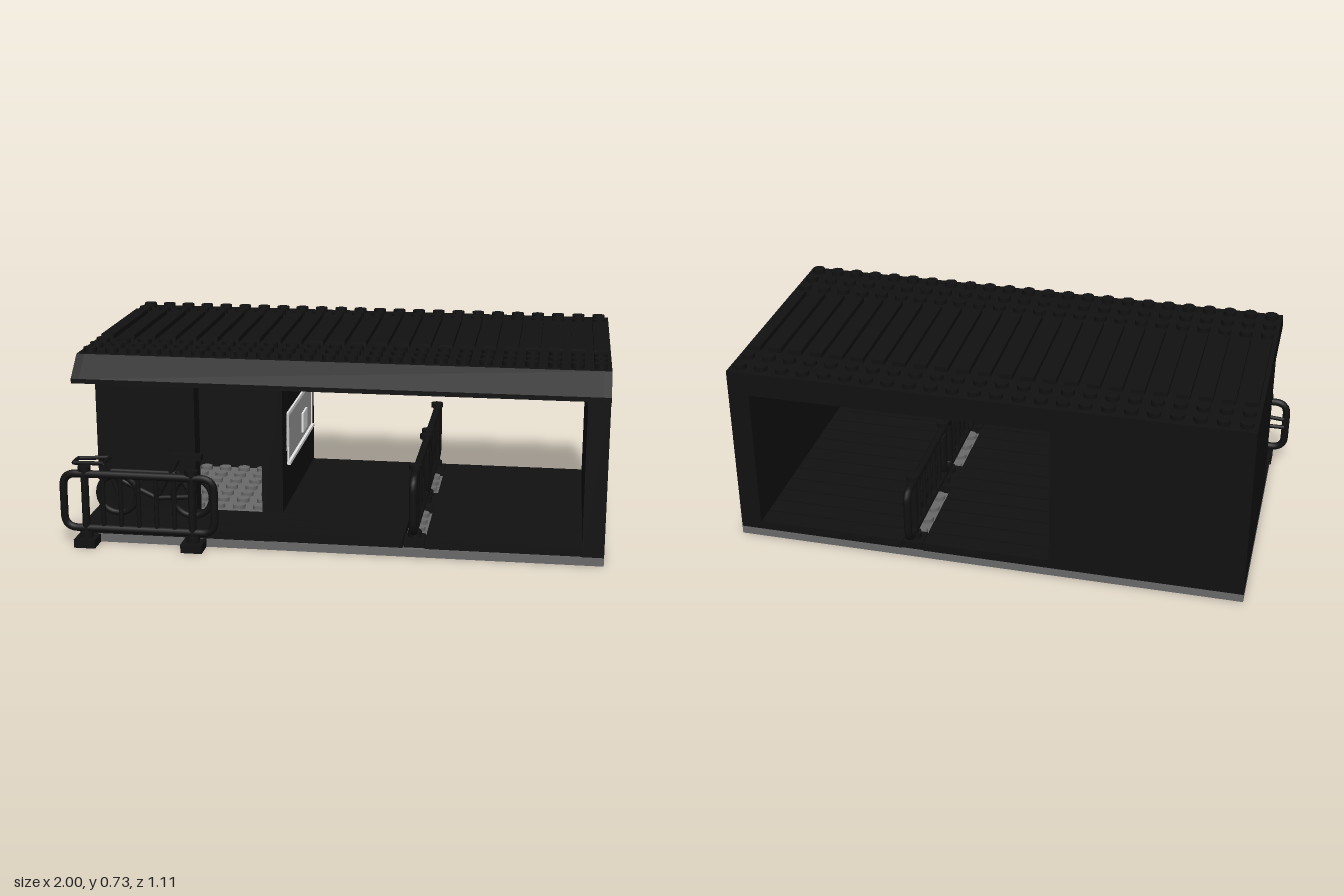
import * as THREE from 'three';
import { mergeGeometries } from 'three/addons/utils/BufferGeometryUtils.js';

const P = 0.0809; // stud pitch
const X0 = -0.94, X1 = 1.0, Z0 = -0.5, Z1 = 0.475;
const range = (n, f) => Array.from({ length: n }, (_, i) => f(i));

export function createModel() {
  const model = new THREE.Group();
  const material = (name, color, side = THREE.FrontSide) => {
    const m = new THREE.MeshStandardMaterial({ color, side });
    m.name = name;
    return m;
  };
  const black = material('black', 0x111111, THREE.DoubleSide);
  const grey = material('stone grey', 0x6a6a6a, THREE.DoubleSide);
  const light = material('light grey', 0xa3a3a3);
  const white = material('white', 0xececec);

  const add = (name, geo, mat, parent = model) => {
    const mesh = new THREE.Mesh(geo, mat);
    mesh.name = name;
    parent.add(mesh);
    return mesh;
  };
  // Box given by its minimum and maximum corners
  const box = (x0, x1, y0, y1, z0, z1) =>
    new THREE.BoxGeometry(x1 - x0, y1 - y0, z1 - z0)
      .translate((x0 + x1) / 2, (y0 + y1) / 2, (z0 + z1) / 2);
  const stud = (x, y, z, h = 0.016) =>
    new THREE.CylinderGeometry(0.0245, 0.0245, h, 14).translate(x, y + h / 2, z);
  const tube = (x, y, z, h) =>
    new THREE.CylinderGeometry(0.032, 0.032, h, 12, 1, true).translate(x, y + h / 2, z);
  const ring = (x, y, z) =>
    new THREE.RingGeometry(0.024, 0.032, 12).rotateX(Math.PI / 2).translate(x, y, z);
  const rod = (a, b, r = 0.01) => new THREE.TubeGeometry(
    new THREE.LineCurve3(new THREE.Vector3(...a), new THREE.Vector3(...b)), 1, r, 8);

  // Hollow base plates, each four studs by twelve
  const base = [];
  const w = (X1 - X0) / 6;
  for (let i = 0; i < 6; i++) {
    const a = X0 + i * w, b = a + w, t = 0.012;
    base.push(box(a, b, 0.022, 0.032, Z0, Z1));
    base.push(box(a, a + t, 0, 0.022, Z0, Z1), box(b - t, b, 0, 0.022, Z0, Z1));
    base.push(box(a + t, b - t, 0, 0.022, Z0, Z0 + t), box(a + t, b - t, 0, 0.022, Z1 - t, Z1));
    for (let c = 1; c < 4; c++) for (let r = 1; r < 12; r++) {
      const x = a + c * P, z = Z0 + r * P;
      base.push(tube(x, 0.001, z, 0.021), ring(x, 0.001, z));
    }
  }
  add('basePlates', mergeGeometries(base), grey);

  // Bare studs inside the booth and under the barrier row
  const floorStuds = [];
  for (let c = 1; c < 8; c++) for (let r = 1; r < 9; r++) {
    if (r === 8 && (c < 5)) continue;
    floorStuds.push(stud(X0 + (c + 0.5) * P, 0.032, Z0 + (r + 0.5) * P));
  }
  for (let r = 0; r < 12; r++) floorStuds.push(stud(0.313, 0.032, Z0 + (r + 0.5) * P));
  add('floorStuds', mergeGeometries(floorStuds), grey);

  // Platform boards running sideways
  const boards = [];
  const paving = (x0, x1, z0, rows) => {
    boards.push(box(x0, x1, 0.032, 0.056, z0, z0 + rows * P));
    for (let i = 0; i < rows; i++)
      boards.push(box(x0, x1, 0.056, 0.063, z0 + i * P + 0.003, z0 + (i + 1) * P - 0.003));
  };
  paving(-0.215, 0.272, Z0, 12);
  paving(0.353, 0.92, Z0, 12);
  paving(X0, -0.215, 0.23, 3);
  boards.push(box(0.272, 0.353, 0.032, 0.063, -0.095, 0.068));
  add('platformBoards', mergeGeometries(boards), black);

  // Walls: the end wall and the booth with its doorway
  const top = 0.62;
  add('endWall', box(0.92, X1, 0.032, top, Z0, Z1), black);
  add('boothBackWall', box(X0, -0.215, 0.032, top, Z0, Z0 + P), black);
  add('boothOuterWall', box(X0, X0 + P, 0.032, top, Z0 + P, 0.23), black);
  add('boothInnerWall', box(-0.296, -0.215, 0.032, top, Z0 + P, 0.23), black);
  add('boothFrontWall', box(X0 + P, -0.555, 0.032, top, 0.15, 0.23), black);

  // Ticket window on the platform side of the booth
  const win = new THREE.Group();
  win.name = 'ticketWindow';
  model.add(win);
  add('windowPane', box(-0.215, -0.211, 0.24, 0.43, -0.42, 0.14), light, win);
  add('windowFrame', mergeGeometries([
    box(-0.215, -0.207, 0.42, 0.435, -0.42, 0.14),
    box(-0.215, -0.207, 0.24, 0.42, -0.42, -0.405),
    box(-0.215, -0.207, 0.24, 0.42, 0.125, 0.14),
    box(-0.215, -0.2, 0.228, 0.242, -0.42, 0.14),
  ]), white, win);
  add('ticketBox', box(-0.212, -0.203, 0.27, 0.35, -0.27, -0.17), white, win);

  // Roof shell with a sloped front eave, capped at both ends
  const section = (pts, x0, x1) => {
    const shape = new THREE.Shape(pts.map(([z, y]) => new THREE.Vector2(-z, y)));
    return new THREE.ExtrudeGeometry(shape, { depth: x1 - x0, bevelEnabled: false })
      .rotateY(Math.PI / 2).translate(x0, 0, 0);
  };
  const outer = [[Z0, top], [Z0, 0.712], [0.435, 0.712], [0.515, 0.637], [0.515, top]];
  const shell = [...outer, [0.43, top], [0.43, 0.685], [Z0 + 0.03, 0.685], [Z0 + 0.03, top]];
  add('roof', mergeGeometries([
    section(shell, X0 + 0.03, X1 - 0.03),
    section(outer, X0, X0 + 0.03),
    section(outer, X1 - 0.03, X1),
  ]), black);

  // Roof underside tubes, top studs and long ribs
  const under = [], studs = [], ribs = [];
  for (let c = 0; c < 24; c++) {
    const x = X0 + (c + 0.5) * P;
    for (const z of [-0.457, -0.376, 0.231, 0.312, 0.393]) studs.push(stud(x, 0.712, z, 0.018));
    ribs.push(box(x - 0.0245, x + 0.0245, 0.712, 0.73, -0.32, 0.175));
    if (c) for (let r = 1; r < 11; r++)
      under.push(tube(x - P / 2, 0.625, Z0 + r * P, 0.06), ring(x - P / 2, 0.625, Z0 + r * P));
  }
  add('roofTubes', mergeGeometries(under), black);
  add('roofStuds', mergeGeometries(studs), black);
  add('roofRibs', mergeGeometries(ribs), black);

  // Barrier: rounded loop, two footed posts and thin bars, along x and centred
  const barrier = (name) => {
    const g = new THREE.Group();
    g.name = name;
    const L = 0.285, lo = 0.035, hi = 0.245, r = 0.05;
    const path = new THREE.CurvePath();
    const v = (x, y) => new THREE.Vector3(x, y, 0);
    const corners = [[L, lo], [L, hi], [-L, hi], [-L, lo]];
    corners.forEach(([x, y], i) => {
      const [px, py] = corners[(i + 3) % 4], [nx, ny] = corners[(i + 1) % 4];
      const toward = (ax, ay) => v(x + Math.sign(ax - x) * r, y + Math.sign(ay - y) * r);
      path.add(new THREE.QuadraticBezierCurve3(toward(px, py), v(x, y), toward(nx, ny)));
      path.add(new THREE.LineCurve3(toward(nx, ny),
        v(nx + Math.sign(x - nx) * r, ny + Math.sign(y - ny) * r)));
    });
    add('loopRail', new THREE.TubeGeometry(path, 120, 0.015, 8, true), black, g);
    const parts = [];
    for (const x of [-0.2025, 0.2025]) {
      parts.push(rod([x, 0, 0], [x, 0.27, 0], 0.015));
      parts.push(new THREE.CylinderGeometry(0.025, 0.025, 0.024, 14).translate(x, 0.012, 0));
      parts.push(new THREE.CylinderGeometry(0.024, 0.024, 0.018, 14).translate(x, 0.267, 0));
    }
    add('posts', mergeGeometries(parts), black, g);
    add('bars', mergeGeometries(range(5, i => {
      const x = (i - 2) * 0.0675;
      return rod([x, lo, 0], [x, hi, 0], 0.009);
    })), black, g);
    model.add(g);
    return g;
  };
  barrier('frontBarrier').position.set(-0.703, 0.032, 0.515);
  for (const [name, z] of [['platformBarrierFront', 0.2225], ['platformBarrierBack', -0.2565]]) {
    const g = barrier(name);
    g.position.set(0.313, 0.063, z);
    g.rotation.y = Math.PI / 2;
    add('barrierFeet', mergeGeometries([-0.2025, 0.2025].map(x =>
      box(x - 0.038, x + 0.038, -0.031, 0, -0.038, 0.038))), black, g);
  }
  add('frontBarrierFeet', mergeGeometries([-0.905, -0.5].map(x =>
    box(x - 0.04, x + 0.04, 0, 0.032, 0.475, 0.555))), black);

  // Small bicycle parked on the porch behind the front barrier
  const bike = new THREE.Group();
  bike.name = 'bicycle';
  model.add(bike);
  const z = 0.35;
  for (const x of [-0.83, -0.54])
    add('wheel', new THREE.TorusGeometry(0.075, 0.012, 8, 24).translate(x, 0.15, z), black, bike);
  add('bikeFrame', mergeGeometries([
    rod([-0.83, 0.15, z], [-0.87, 0.28, z]), rod([-0.86, 0.24, z], [-0.6, 0.24, z]),
    rod([-0.85, 0.22, z], [-0.68, 0.14, z]), rod([-0.68, 0.14, z], [-0.59, 0.3, z]),
    rod([-0.68, 0.14, z], [-0.54, 0.15, z]), rod([-0.54, 0.15, z], [-0.6, 0.25, z]),
  ]), black, bike);
  add('handlebar', mergeGeometries([
    rod([-0.87, 0.28, z - 0.04], [-0.87, 0.28, z + 0.04], 0.008),
    rod([-0.87, 0.28, z - 0.04], [-0.99, 0.275, z - 0.03], 0.008),
    rod([-0.87, 0.28, z + 0.04], [-0.99, 0.275, z + 0.03], 0.008),
    rod([-0.99, 0.275, z - 0.03], [-0.99, 0.275, z + 0.03], 0.008),
  ]), black, bike);
  add('saddle', box(-0.62, -0.5, 0.298, 0.318, z - 0.02, z + 0.02), black, bike);

  return model;
}
